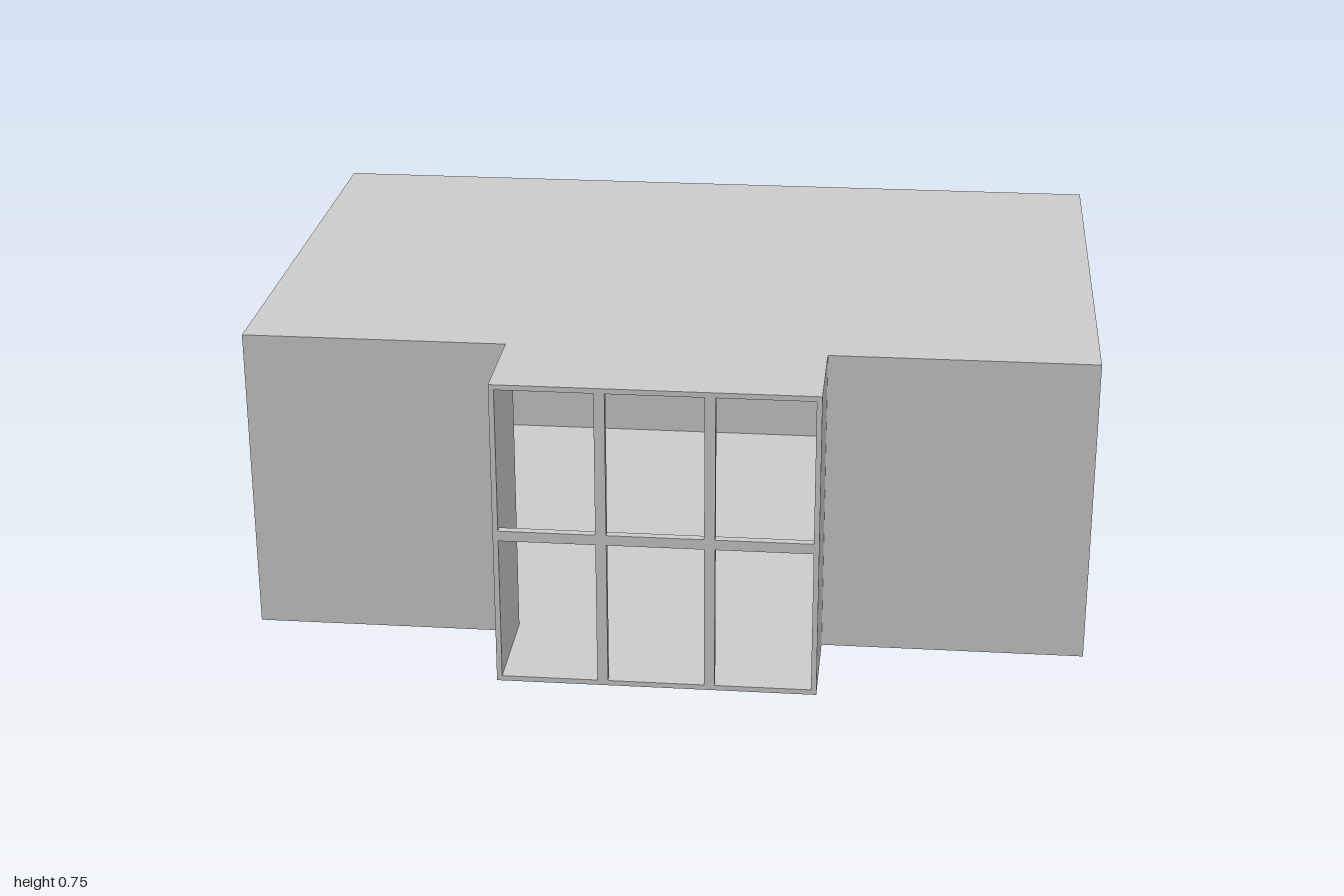
import * as THREE from 'three';

const H = 0.75;      // building height
const T = 0.0125;    // wall, floor and roof thickness
const D = 0.02;      // depth of window frames
const BAY = 0.25;    // spacing of window mullions
const material = new THREE.MeshStandardMaterial({ color: 0xcccccc, side: THREE.DoubleSide });

function addMesh(parent, name, geometry) {
  const mesh = new THREE.Mesh(geometry, material);
  mesh.name = name;
  parent.add(mesh);
  return mesh;
}

// Box given by its minimum and maximum corners
function addBox(parent, name, [x0, y0, z0], [x1, y1, z1]) {
  addMesh(parent, name, new THREE.BoxGeometry(x1 - x0, y1 - y0, z1 - z0))
    .position.set((x0 + x1) / 2, (y0 + y1) / 2, (z0 + z1) / 2);
}

// Two-storey window grid, centred on x, outer face at z = 0
function windowGrid(bays) {
  const w = bays * BAY;
  const shape = new THREE.Shape([
    new THREE.Vector2(-w / 2, 0), new THREE.Vector2(w / 2, 0),
    new THREE.Vector2(w / 2, H), new THREE.Vector2(-w / 2, H),
  ]);
  for (let i = 0; i < bays; i++) {
    for (let j = 0; j < 2; j++) {
      const x0 = -w / 2 + i * BAY + T, x1 = x0 + BAY - 2 * T;
      const y0 = j * H / 2 + T, y1 = y0 + H / 2 - 2 * T;
      shape.holes.push(new THREE.Path([
        new THREE.Vector2(x0, y0), new THREE.Vector2(x0, y1),
        new THREE.Vector2(x1, y1), new THREE.Vector2(x1, y0),
      ]));
    }
  }
  return new THREE.ExtrudeGeometry(shape, { depth: D, bevelEnabled: false }).translate(0, 0, -D);
}

// T-shaped slab for floor and roof, fitted between the window frames
function slab() {
  const e = 1 - D;
  const points = [[-e, 0.75], [-e, -0.5], [-0.375, -0.5], [-0.375, -0.75 + D],
    [0.375, -0.75 + D], [0.375, -0.5], [e, -0.5], [e, 0.75]];
  const shape = new THREE.Shape(points.map(([x, y]) => new THREE.Vector2(x, y)));
  return new THREE.ExtrudeGeometry(shape, { depth: T, bevelEnabled: false }).rotateX(-Math.PI / 2);
}

export function createModel() {
  const model = new THREE.Group();
  model.name = 'building';

  addMesh(model, 'floor', slab());
  addMesh(model, 'roof', slab()).position.y = H - T;

  // Solid walls
  addBox(model, 'backWall', [-1 + D, T, -0.75], [1 - D, H - T, -0.75 + T]);
  for (const [side, s] of [['left', 1], ['right', -1]]) {
    const span = (a, b) => (s > 0 ? [a, b] : [-b, -a]);
    const [f0, f1] = span(0.375, 1 - D);
    addBox(model, side + 'FrontWall', [f0, T, 0.5 - T], [f1, H - T, 0.5]);
    const [b0, b1] = span(0.375 - T, 0.375);
    addBox(model, side + 'BayWall', [b0, T, 0.5 - T], [b1, H - T, 0.75 - D]);

    // Windowed end
    const end = addMesh(model, side + 'EndWindows', windowGrid(5));
    end.rotation.y = s * Math.PI / 2;
    end.position.set(s, 0, -0.125);
  }

  // Front of the projecting bay
  addMesh(model, 'bayWindows', windowGrid(3)).position.z = 0.75;
  return model;
}
